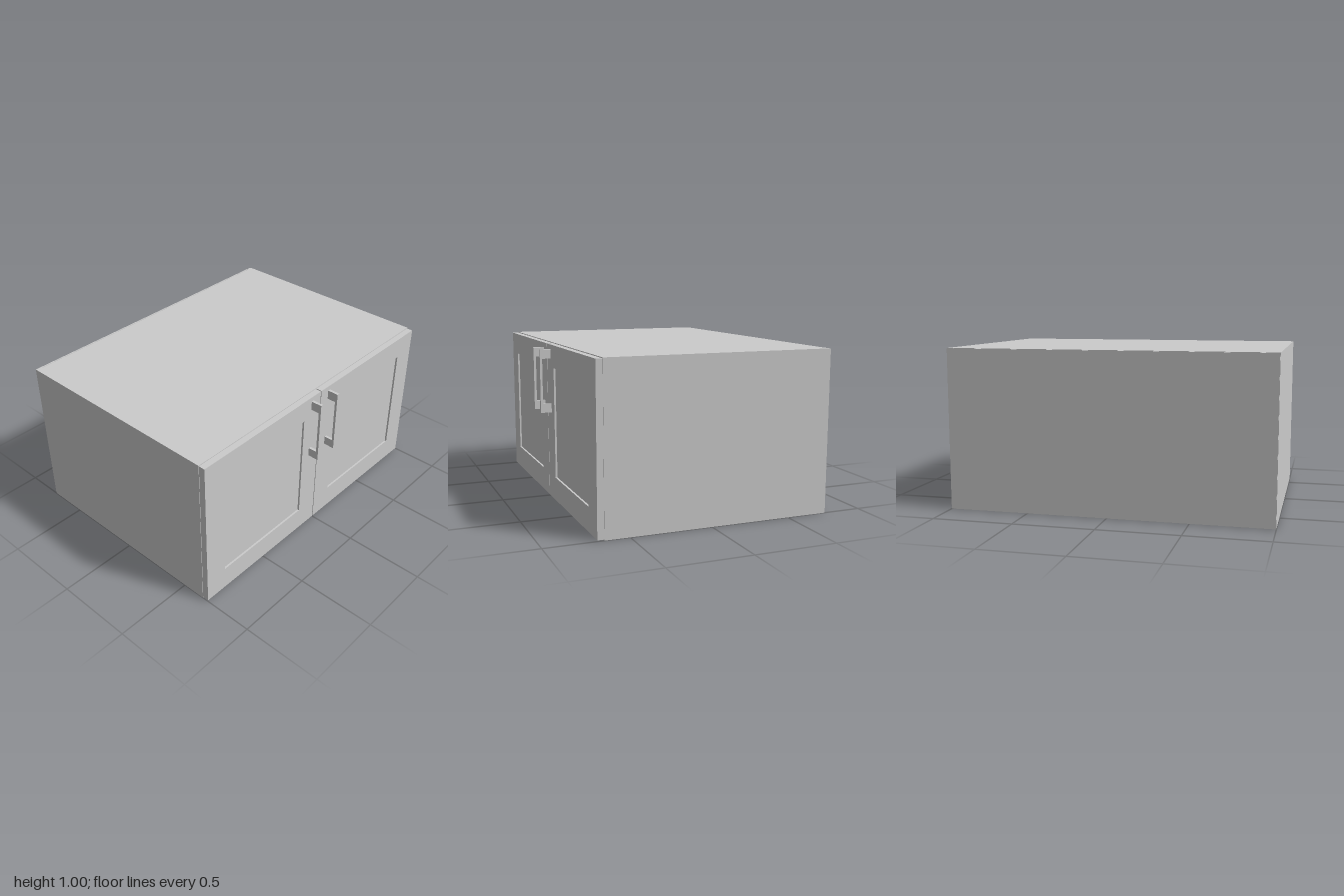
import * as THREE from 'three';

const material = new THREE.MeshStandardMaterial({ color: 0xcccccc });

// Box given by its min and max corners
function box(name, [x0, y0, z0], [x1, y1, z1]) {
  const geo = new THREE.BoxGeometry(x1 - x0, y1 - y0, z1 - z0);
  geo.translate((x0 + x1) / 2, (y0 + y1) / 2, (z0 + z1) / 2);
  const mesh = new THREE.Mesh(geo, material);
  mesh.name = name;
  return mesh;
}

function rectangle(target, x0, y0, x1, y1) {
  target.moveTo(x0, y0).lineTo(x1, y0).lineTo(x1, y1).lineTo(x0, y1).closePath();
  return target;
}

// Framed door with a recessed panel, centred on its own x = 0
function createDoor(name) {
  const door = new THREE.Group();
  door.name = name;
  const shape = rectangle(new THREE.Shape(), -0.497, 0.005, 0.497, 0.995);
  shape.holes.push(rectangle(new THREE.Path(), -0.348, 0.153, 0.348, 0.853));
  const geo = new THREE.ExtrudeGeometry(shape, { depth: 0.04, bevelEnabled: false });
  geo.translate(0, 0, 0.65);
  const frame = new THREE.Mesh(geo, material);
  frame.name = 'doorFrame';
  door.add(frame, box('doorPanel', [-0.348, 0.153, 0.655], [0.348, 0.853, 0.678]));
  return door;
}

// Square bar handle standing on two feet
function createHandle(name) {
  const handle = new THREE.Group();
  handle.name = name;
  const w = 0.009;
  handle.add(
    box('handleBar', [-w, 0.565, 0.745], [w, 0.965, 0.76]),
    box('lowerFoot', [-w, 0.565, 0.69], [w, 0.62, 0.745]),
    box('upperFoot', [-w, 0.907, 0.69], [w, 0.965, 0.745])
  );
  return handle;
}

export function createModel() {
  const cabinet = new THREE.Group();
  cabinet.name = 'wallCabinet';
  const t = 0.045; // board thickness

  // Carcass; top and bottom stop just short of the back panel
  cabinet.add(
    box('rightSide', [-1, 0, -0.752], [-1 + t, 1, 0.65]),
    box('leftSide', [1 - t, 0, -0.752], [1, 1, 0.65]),
    box('bottomBoard', [-1 + t, 0, -0.745], [1 - t, t, 0.65]),
    box('topBoard', [-1 + t, 1 - t, -0.745], [1 - t, 1, 0.65]),
    box('backPanel', [-0.998, 0.002, -0.76], [0.998, 0.998, -0.752])
  );

  // Mirrored pair of doors with handles near the middle
  for (const [side, s] of [['left', 1], ['right', -1]]) {
    const door = createDoor(side + 'Door');
    door.position.x = 0.5 * s;
    const handle = createHandle(side + 'Handle');
    handle.position.x = 0.08 * s;
    cabinet.add(door, handle);
  }
  return cabinet;
}
